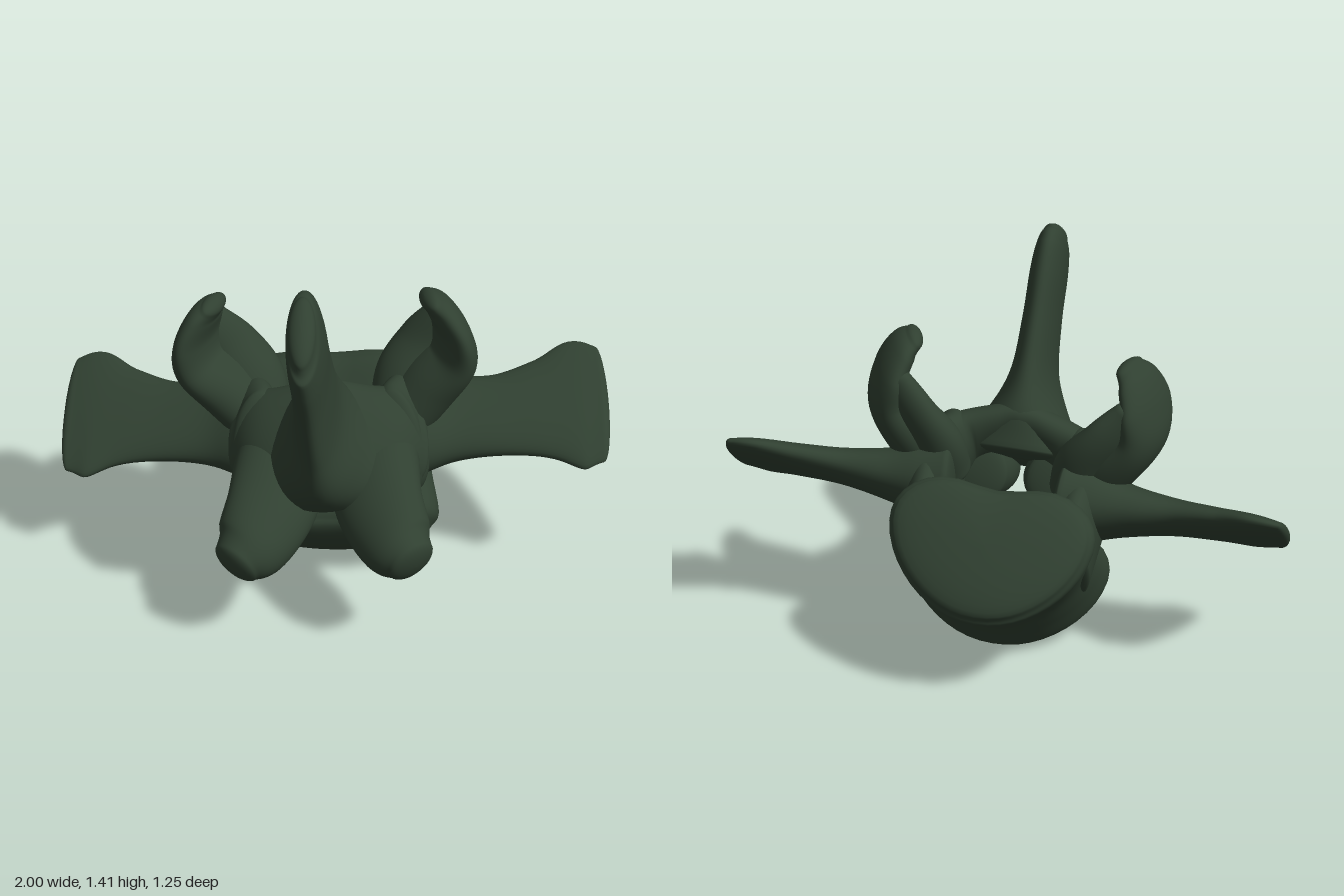
import * as THREE from 'three';

const material = new THREE.MeshStandardMaterial({ color: 0x304031, roughness: 0.8 });
const AROUND = 40;

// Smooth loft. Each section is [x, y, z, halfWidth, halfThickness]; "wide" is the
// direction of the width. Both ends close with a dome of the given height.
function loft(name, sections, wide, { cap = 0.04, power = 2, notch = 0, egg = 0 } = {}) {
  const path = new THREE.CatmullRomCurve3(
    sections.map(s => new THREE.Vector3(s[0], s[1], s[2])), false, 'catmullrom');
  const size = new THREE.CatmullRomCurve3(
    sections.map(s => new THREE.Vector3(s[3], s[4], 0)), false, 'catmullrom');
  const wideDir = new THREE.Vector3(...wide);

  // Rings: [curve parameter, dome offset, scale]
  const rings = [];
  const capSteps = 8, steps = (sections.length - 1) * 8;
  for (let i = 0; i < capSteps; i++) {
    const a = (1 - i / capSteps) * Math.PI / 2;
    rings.push([0, -cap * Math.sin(a), Math.cos(a)]);
  }
  for (let i = 0; i <= steps; i++) rings.push([i / steps, 0, 1]);
  for (let i = 1; i <= capSteps; i++) {
    const a = (i / capSteps) * Math.PI / 2;
    rings.push([1, cap * Math.sin(a), Math.cos(a)]);
  }

  const positions = [], index = [];
  const bend = v => Math.sign(v) * Math.pow(Math.abs(v), 2 / power);
  rings.forEach(([t, offset, scale], r) => {
    const tangent = path.getTangent(t);
    const w = wideDir.clone().addScaledVector(tangent, -wideDir.dot(tangent)).normalize();
    const v = tangent.clone().cross(w);
    const center = path.getPoint(t).addScaledVector(tangent, offset);
    const half = size.getPoint(t);
    for (let j = 0; j < AROUND; j++) {
      const angle = (j / AROUND) * Math.PI * 2;
      let cx = bend(Math.cos(angle));
      let cy = bend(Math.sin(angle));
      // Hollow the rear of the section and narrow its front
      if (cy < 0) cy += notch * Math.exp(-cx * cx * 7) * -cy;
      cx *= 1 - egg * cy;
      const p = center.clone()
        .addScaledVector(w, half.x * scale * cx)
        .addScaledVector(v, half.y * scale * cy);
      positions.push(p.x, p.y, p.z);
      if (r === rings.length - 1) continue;
      const a = r * AROUND + j, b = r * AROUND + (j + 1) % AROUND;
      index.push(a, b, a + AROUND, b, b + AROUND, a + AROUND);
    }
  });

  const geometry = new THREE.BufferGeometry();
  geometry.setAttribute('position', new THREE.Float32BufferAttribute(positions, 3));
  geometry.setIndex(index);
  geometry.computeVertexNormals();
  const mesh = new THREE.Mesh(geometry, material);
  mesh.name = name;
  return mesh;
}

export function createModel() {
  const bone = new THREE.Group();
  bone.name = 'bone';

  // Vertebral body: waisted drum, rounded in front and hollowed behind, leaning back
  bone.add(loft('vertebralBody', [
    [0, 0.190, 0.000, 0.335, 0.225],
    [0, 0.225, -0.040, 0.365, 0.250],
    [0, 0.310, -0.140, 0.345, 0.230],
    [0, 0.395, -0.240, 0.325, 0.220],
    [0, 0.478, -0.340, 0.330, 0.240],
    [0, 0.552, -0.432, 0.345, 0.262],
    [0, 0.582, -0.472, 0.325, 0.243],
  ], [1, 0, 0], { cap: 0.05, power: 2.15, notch: 0.22, egg: 0.24 }));

  // Lamina: arch closing the canal behind the body
  const archSide = [
    [0.27, 0.63, 0.03, 0.18, 0.10],
    [0.21, 0.67, 0.11, 0.19, 0.09],
    [0.10, 0.69, 0.16, 0.22, 0.085],
  ];
  bone.add(loft('lamina', [
    ...archSide,
    [0, 0.70, 0.18, 0.235, 0.09],
    ...archSide.map(([x, ...rest]) => [-x, ...rest]).reverse(),
  ], [0, -0.72, 0.69]));

  // Spinous process: tall blade flaring into the lamina
  bone.add(loft('spinousProcess', [
    [0, 0.64, 0.17, 0.22, 0.24],
    [0, 0.76, 0.235, 0.245, 0.15],
    [0, 0.90, 0.295, 0.225, 0.085],
    [0, 1.08, 0.37, 0.20, 0.068],
    [0, 1.23, 0.44, 0.19, 0.066],
    [0, 1.31, 0.49, 0.172, 0.058],
    [0, 1.345, 0.517, 0.125, 0.045],
  ], [0, -0.69, 0.72], { cap: 0.035 }));

  // Paired parts, mirrored left and right
  for (const [side, s] of [['left', 1], ['right', -1]]) {
    const pair = (name, sections, wide, options) => bone.add(loft(
      side + name,
      sections.map(([x, ...rest]) => [s * x, ...rest]),
      [s * wide[0], wide[1], wide[2]], options));

    // Short broad bridge from body to arch
    pair('Pedicle', [
      [0.24, 0.43, -0.27, 0.27, 0.10],
      [0.26, 0.53, -0.14, 0.25, 0.095],
      [0.27, 0.61, -0.02, 0.225, 0.095],
      [0.25, 0.64, 0.09, 0.20, 0.09],
    ], [0, 0.65, -0.76]);

    // Thin wing, widening to a squared tip
    pair('TransverseProcess', [
      [0.22, 0.61, -0.09, 0.23, 0.16],
      [0.32, 0.61, -0.10, 0.20, 0.13],
      [0.44, 0.61, -0.11, 0.165, 0.09],
      [0.60, 0.615, -0.115, 0.155, 0.062],
      [0.76, 0.625, -0.135, 0.19, 0.05],
      [0.88, 0.63, -0.15, 0.248, 0.042],
      [0.965, 0.63, -0.155, 0.225, 0.03],
    ], [0, 0.59, -0.81], { cap: 0.035, power: 2.2 });

    // Hooked flange that curls inwards at the top
    pair('SuperiorArticularProcess', [
      [0.25, 0.64, -0.05, 0.10, 0.10],
      [0.36, 0.78, -0.08, 0.13, 0.10],
      [0.445, 0.89, -0.085, 0.145, 0.08],
      [0.45, 1.00, -0.08, 0.155, 0.058],
      [0.415, 1.09, -0.07, 0.12, 0.048],
      [0.38, 1.13, -0.06, 0.08, 0.035],
    ], [0.35, 0, 0.94], { cap: 0.03 });

    // Inner wing carrying the joint surface
    pair('SuperiorFacet', [
      [0.24, 0.66, -0.08, 0.10, 0.09],
      [0.27, 0.79, -0.13, 0.11, 0.08],
      [0.34, 0.90, -0.16, 0.10, 0.06],
      [0.41, 1.00, -0.16, 0.075, 0.045],
    ], [0.85, 0, 0.5]);

    // Broad tilted web narrowing to a blunt outer tip
    pair('InferiorArticularProcess', [
      [0.18, 0.60, 0.07, 0.15, 0.13],
      [0.17, 0.575, 0.18, 0.165, 0.125],
      [0.19, 0.525, 0.31, 0.16, 0.105],
      [0.25, 0.455, 0.43, 0.135, 0.11],
      [0.30, 0.425, 0.495, 0.09, 0.09],
    ], [0.9, 0.38, 0.1], { cap: 0.035 });
  }

  // Slight natural lean, then rest on the ground and centre
  bone.rotation.set(0, -0.025, 0.07);
  const model = new THREE.Group();
  model.name = 'vertebra';
  model.add(bone);
  model.updateMatrixWorld(true);
  const box = new THREE.Box3().setFromObject(bone, true);
  const center = box.getCenter(new THREE.Vector3());
  bone.position.set(-center.x, -box.min.y, -center.z);
  return model;
}
